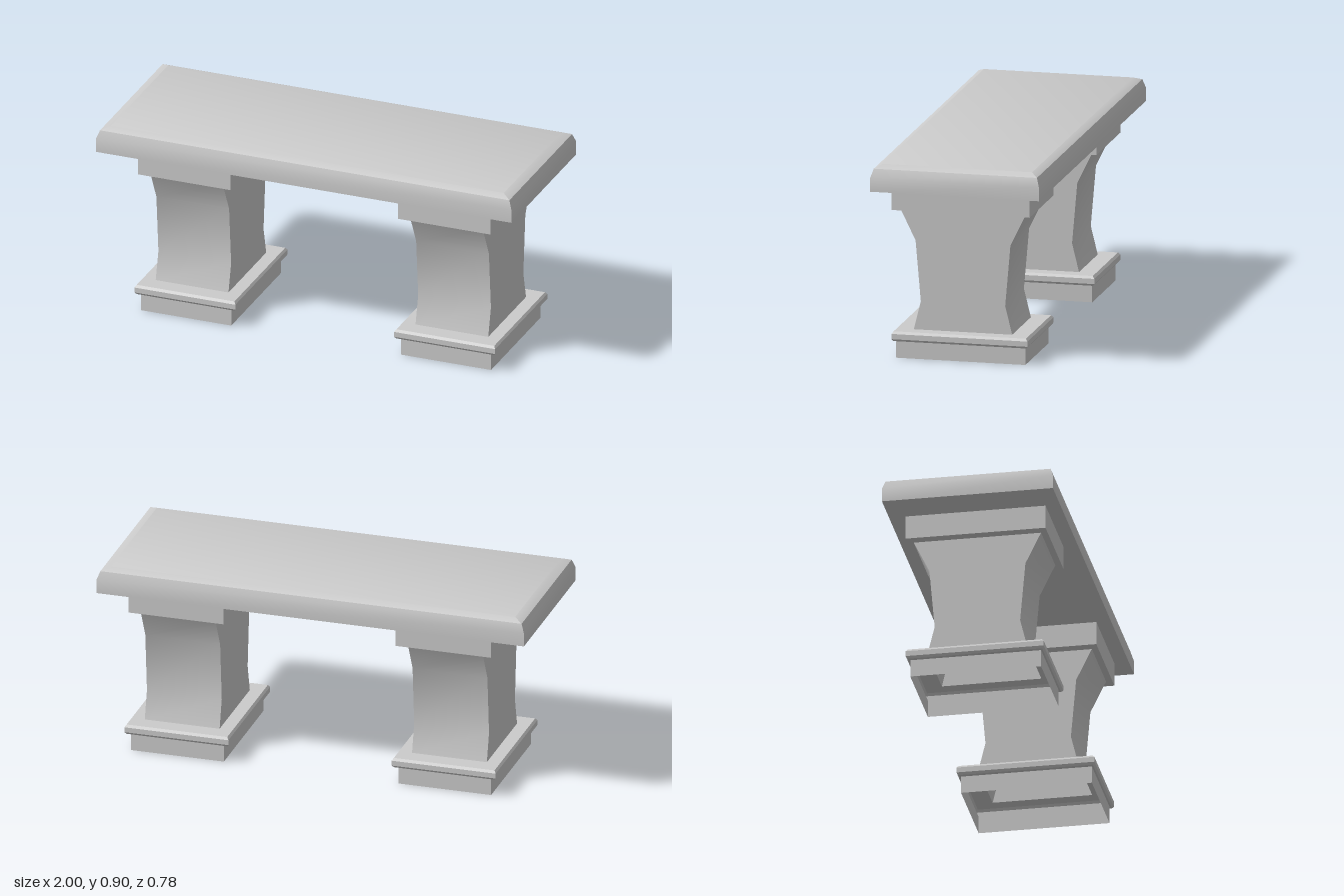
import * as THREE from 'three';
import { toCreasedNormals } from 'three/addons/utils/BufferGeometryUtils.js';

const stone = new THREE.MeshStandardMaterial({ color: 0xcccccc, side: THREE.DoubleSide });
const CORNERS = [[1, 1], [1, -1], [-1, -1], [-1, 1]];

// Rectangular loft through sections [halfX, halfZ, y], listed from bottom to top
function loft(name, sections, closed = false) {
  const points = [];
  const ring = ([hx, hz, y]) => CORNERS.map(([sx, sz]) => [sx * hx, y, sz * hz]);
  const quad = (a, b, c, d) => points.push(...a, ...b, ...c, ...a, ...c, ...d);
  const rings = sections.map(ring);
  for (let i = 0; i < rings.length - 1; i++) {
    for (let k = 0; k < 4; k++) {
      const n = (k + 1) % 4;
      quad(rings[i][k], rings[i][n], rings[i + 1][n], rings[i + 1][k]);
    }
  }
  if (closed) {
    quad(...rings[0].slice().reverse());
    quad(...rings[rings.length - 1]);
  }
  const geometry = new THREE.BufferGeometry();
  geometry.setAttribute('position', new THREE.Float32BufferAttribute(points, 3));
  const mesh = new THREE.Mesh(toCreasedNormals(geometry, THREE.MathUtils.degToRad(30)), stone);
  mesh.name = name;
  return mesh;
}

// Hollow pedestal, open at the bottom
function createLeg(name, x) {
  const leg = new THREE.Group();
  leg.name = name;
  leg.add(
    loft('plinth', [[0.217, 0.297, 0], [0.217, 0.297, 0.08]]),
    loft('plinthMoulding', [
      [0.217, 0.297, 0.08], [0.235, 0.305, 0.08], [0.243, 0.313, 0.09],
      [0.243, 0.313, 0.114], [0.235, 0.304, 0.125], [0.175, 0.226, 0.125],
    ]),
    loft('pillar', [
      [0.175, 0.226, 0.125], [0.175, 0.194, 0.255],
      [0.175, 0.218, 0.533], [0.175, 0.289, 0.678],
    ]),
    loft('capital', [[0.175, 0.289, 0.678], [0.223, 0.318, 0.678], [0.223, 0.318, 0.787]]),
  );
  leg.position.set(x, 0, 0.004);
  return leg;
}

export function createModel() {
  const bench = new THREE.Group();
  bench.name = 'bench';

  // Seat slab with a rounded upper edge
  bench.add(loft('seat', [
    [1, 0.388, 0.787], [1, 0.388, 0.85], [0.985, 0.375, 0.89], [0.945, 0.343, 0.905],
  ], true));

  // The two pedestals sit slightly off centre
  bench.add(createLeg('rightLeg', -0.6), createLeg('leftLeg', 0.65));
  return bench;
}
